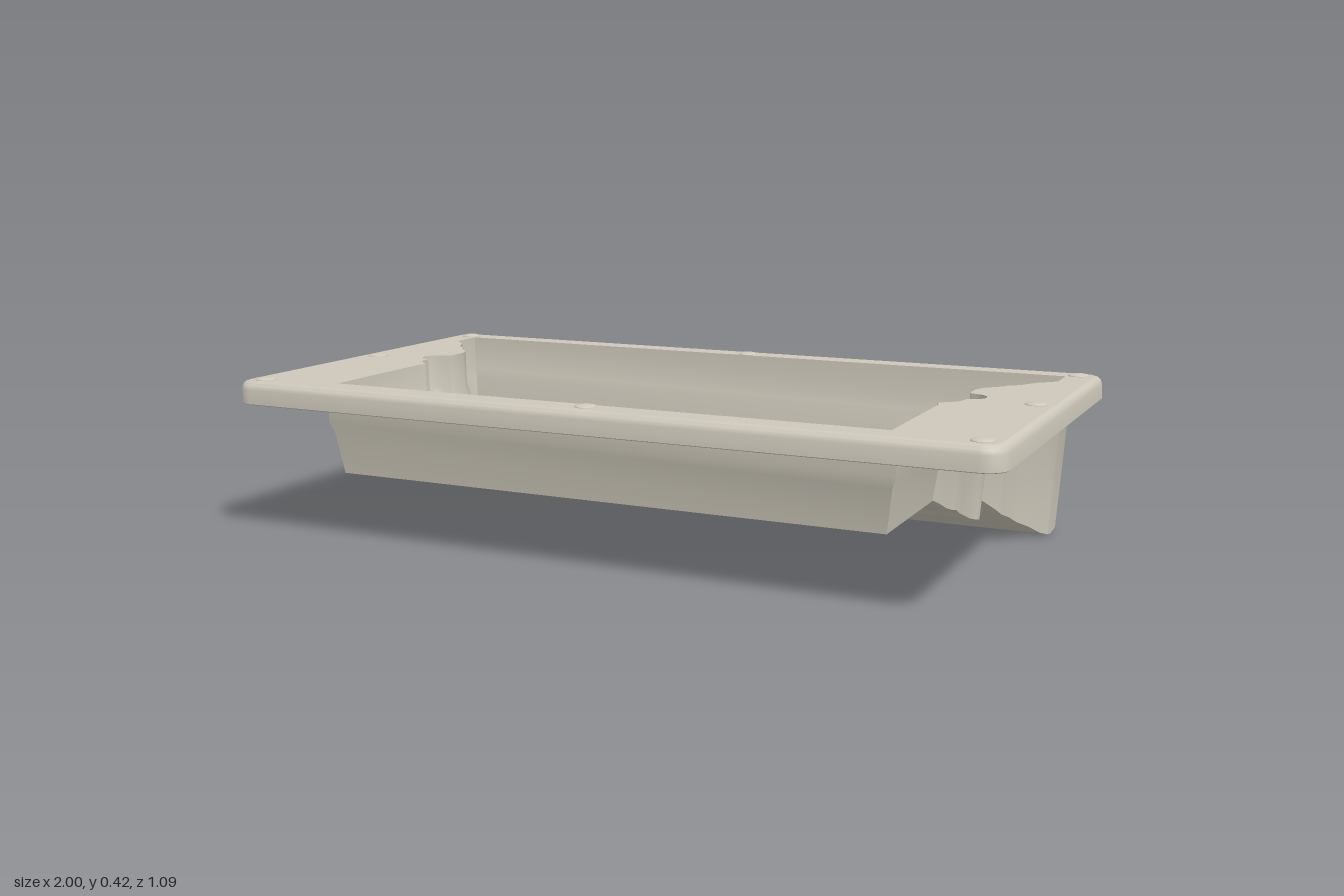
import * as THREE from 'three';
import { toCreasedNormals } from 'three/addons/utils/BufferGeometryUtils.js';

const TOP = 0.413, UNDER = 0.395, STEP = 0.285, FLOOR = 0.016;

// Right half of the moulding outline, back to front: x, z, height of the floor's underside
const PROFILE = [
  [0.91, -0.46, 0.008], [0.91, -0.4, 0.003], [0.91, -0.365, 0.008], [0.89, -0.345, 0.015],
  [0.865, -0.32, 0.035], [0.845, -0.28, 0.053], [0.828, -0.258, 0.069], [0.812, -0.248, 0.077],
  [0.806, -0.23, 0.09], [0.788, -0.21, 0.107], [0.765, -0.185, 0.13], [0.753, -0.152, 0.143],
  [0.753, -0.108, 0.143], [0.755, -0.092, 0.136], [0.77, -0.085, 0.128], [0.79, -0.079, 0.12],
  [0.805, -0.062, 0.113], [0.81, -0.044, 0.111], [0.805, -0.025, 0.113], [0.79, -0.01, 0.118],
  [0.77, -0.002, 0.13], [0.768, 0.018, 0.143], [0.764, 0.035, 0.146], [0.75, 0.053, 0.153],
  [0.735, 0.065, 0.166], [0.724, 0.08, 0.177], [0.732, 0.1, 0.18], [0.732, 0.455, 0.18],
];
const N = PROFILE.length;
const OUTLINE = [...PROFILE, ...PROFILE.map(([x, z, y]) => [-x, z, y]).reverse()];

// Moves a closed outline outwards by d with mitred corners
function offset(points, d) {
  const n = points.length;
  const normal = (a, b) => {
    const l = Math.hypot(b[0] - a[0], b[1] - a[1]);
    return [(b[1] - a[1]) / l, (a[0] - b[0]) / l];
  };
  return points.map((p, i) => {
    const u = normal(points[(i + n - 1) % n], p);
    const v = normal(p, points[(i + 1) % n]);
    const k = d / Math.max(0.7, 1 + u[0] * v[0] + u[1] * v[1]);
    return [p[0] + (u[0] + v[0]) * k, p[1] + (u[1] + v[1]) * k, p[2]];
  });
}

// Ring of 3D points at a fixed height, or at the floor height plus lift
const ring = (points, d, y) => offset(points, d).map(([x, z]) => [x, y, z]);
const floorRing = (d, lift) => offset(OUTLINE, d).map(([x, z, y]) => [x, y + lift, z]);

function fromTriangles(tris, crease = 0.6) {
  const g = new THREE.BufferGeometry();
  g.setAttribute('position', new THREE.Float32BufferAttribute(tris.flat(), 3));
  return toCreasedNormals(g, crease);
}

// Skin between successive closed rings
function loft(rings) {
  const t = [];
  for (let r = 0; r + 1 < rings.length; r++) {
    const A = rings[r], B = rings[r + 1];
    for (let i = 0; i < A.length; i++) {
      const j = (i + 1) % A.length;
      t.push(A[i], A[j], B[i], A[j], B[j], B[i]);
    }
  }
  return fromTriangles(t);
}

// Strips joining the right half of a ring to its mirrored left half
function floorSkin(points, up) {
  const t = [];
  for (let i = 0; i + 1 < N; i++) {
    const r0 = points[i], r1 = points[i + 1];
    const l0 = points[2 * N - 1 - i], l1 = points[2 * N - 2 - i];
    if (up) t.push(l0, l1, r0, l1, r1, r0);
    else t.push(l0, r0, l1, l1, r0, r1);
  }
  return fromTriangles(t, 0.7);
}

// Rounded rectangle, in the same direction as the moulding outline
function roundedRect(hx, hz, r) {
  const p = [];
  [[1, -1], [1, 1], [-1, 1], [-1, -1]].forEach(([sx, sz], c) => {
    for (let k = 0; k <= 6; k++) {
      const a = (c - 1 + k / 6) * Math.PI / 2;
      p.push([sx * (hx - r) + r * Math.cos(a), sz * (hz - r) + r * Math.sin(a)]);
    }
  });
  return p;
}

// Flat sheet with a hole, facing up or down
function sheet(outer, hole, y, up) {
  const s = up ? -1 : 1;
  const vec = (list) => list.map(([x, z]) => new THREE.Vector2(x, s * z));
  const shape = new THREE.Shape(vec(outer));
  shape.holes.push(new THREE.Path(vec(hole)));
  return new THREE.ShapeGeometry(shape).rotateX(s * Math.PI / 2).translate(0, y, 0);
}

export function createModel() {
  const model = new THREE.Group();
  model.name = 'mouldingTray';
  const stone = new THREE.MeshStandardMaterial({ color: 0xcdc8ba });
  stone.name = 'warm grey plastic';
  const add = (name, geometry) => {
    const m = new THREE.Mesh(geometry, stone);
    m.name = name;
    model.add(m);
    return m;
  };

  // Flange: top sheet, underside and a hollow rounded rim
  const rect = roundedRect(1, 0.543, 0.055);
  add('flangeTop', sheet(offset(rect, -0.02), OUTLINE, TOP, true));
  add('flangeUnderside', sheet(offset(rect, -0.025), offset(OUTLINE, 0.018), UNDER, false));
  add('flangeRim', loft([
    [-0.02, TOP], [-0.011, TOP - 0.003], [-0.005, TOP - 0.01], [-0.002, TOP - 0.02],
    [0, 0.357], [-0.003, 0.355], [-0.025, 0.355], [-0.025, UNDER],
  ].map(([d, y]) => ring(rect, d, y))));

  // Basin walls: a wider collar above a tapered lower part
  const outerFloor = floorRing(-0.007, 0);
  const innerFloor = floorRing(-0.023, FLOOR);
  add('basinOuterWall', loft([
    ring(OUTLINE, 0.018, UNDER), ring(OUTLINE, 0.018, 0.315),
    ring(OUTLINE, 0.008, STEP), outerFloor,
  ]));
  add('basinInnerWall', loft([
    innerFloor, ring(OUTLINE, -0.012, STEP + 0.004),
    ring(OUTLINE, -0.002, 0.318), ring(OUTLINE, 0, TOP),
  ]));

  // Moulded floor
  add('basinFloorTop', floorSkin(innerFloor, true));
  add('basinFloorUnderside', floorSkin(outerFloor, false));

  // Low round studs around the flange
  const stud = new THREE.SphereGeometry(0.027, 24, 6, 0, Math.PI * 2, 0, Math.PI / 2).scale(1, 0.24, 1);
  for (const x of [-0.938, 0, 0.938]) {
    for (const z of [-0.485, 0, 0.482]) {
      if (x || z) add('stud', stud).position.set(x, TOP, z);
    }
  }
  return model;
}
